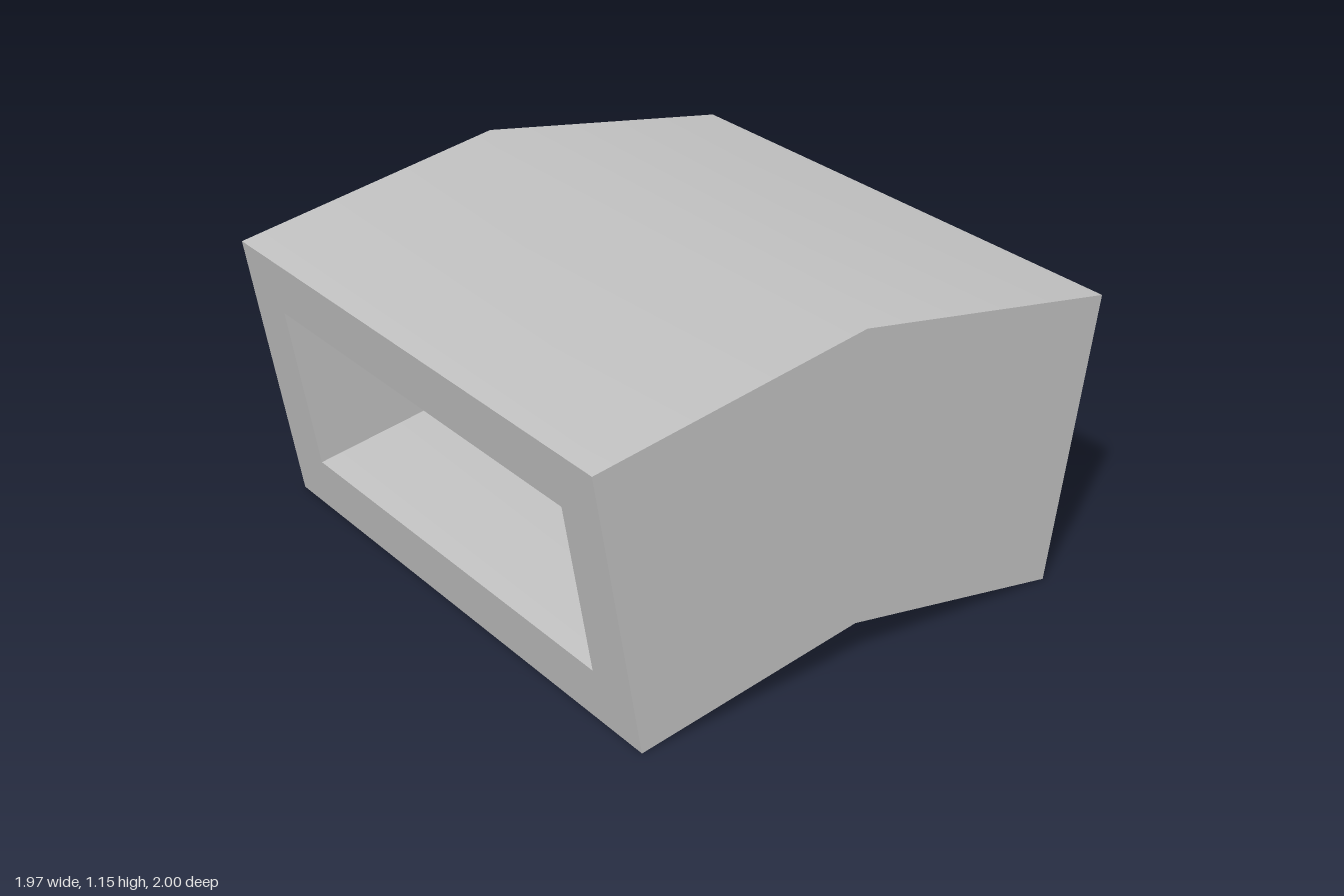
import * as THREE from 'three';

// Point on the bent block: s = -1, 0, 1 across, t = 0..1 upwards
function place(s, [t, z]) {
  return s === 0
    ? [0, 0.14 + 1.01 * t, z]
    : [s * (0.82 + 0.165 * t), 0.985 * t, z];
}

// Rectangular ring of [t, z] corners
const ring = (t, z) => [[t, z], [1 - t, z], [1 - t, -z], [t, -z]];

function meshFrom(name, points, index, material) {
  const geometry = new THREE.BufferGeometry();
  geometry.setAttribute('position', new THREE.Float32BufferAttribute(points.flat(), 3));
  geometry.setIndex(index);
  geometry.computeVertexNormals();
  // The bend is shaded smoothly and symmetrically
  const p = geometry.attributes.position, n = geometry.attributes.normal;
  const v = new THREE.Vector3();
  for (let i = 0; i < p.count; i++) {
    if (p.getX(i) !== 0) continue;
    v.fromBufferAttribute(n, i).setX(0).normalize();
    n.setXYZ(i, v.x, v.y, v.z);
  }
  const mesh = new THREE.Mesh(geometry, material);
  mesh.name = name;
  return mesh;
}

// Wall running across the block along one ring edge
function wall(name, a, b, material) {
  const points = [-1, 0, 1].flatMap((s) => [place(s, a), place(s, b)]);
  return meshFrom(name, points, [0, 2, 3, 0, 3, 1, 2, 4, 5, 2, 5, 3], material);
}

// Flat frame around the opening at one end
function endFrame(name, s, outer, inner, material) {
  const points = [...outer, ...inner].map((c) => place(s, c));
  const index = [];
  for (let i = 0; i < 4; i++) {
    const j = (i + 1) % 4;
    const tris = [i, i + 4, j + 4, i, j + 4, j];
    index.push(...(s > 0 ? tris : tris.reverse()));
  }
  return meshFrom(name, points, index, material);
}

export function createModel() {
  const model = new THREE.Group();
  model.name = 'bentHollowBlock';
  const grey = new THREE.MeshStandardMaterial({ color: 0xc0c0c0 });
  grey.name = 'plain grey';

  const outer = ring(0, 1);
  const inner = ring(0.2, 0.8);
  const sides = ['Front', 'Top', 'Back', 'Bottom'];

  // Outer shell and the through-opening
  sides.forEach((side, i) => {
    const j = (i + 1) % 4;
    model.add(wall('outer' + side, outer[i], outer[j], grey));
    model.add(wall('opening' + side, inner[j], inner[i], grey));
  });

  // Frames on the two open ends
  model.add(endFrame('leftEndFrame', 1, outer, inner, grey));
  model.add(endFrame('rightEndFrame', -1, outer, inner, grey));
  return model;
}
